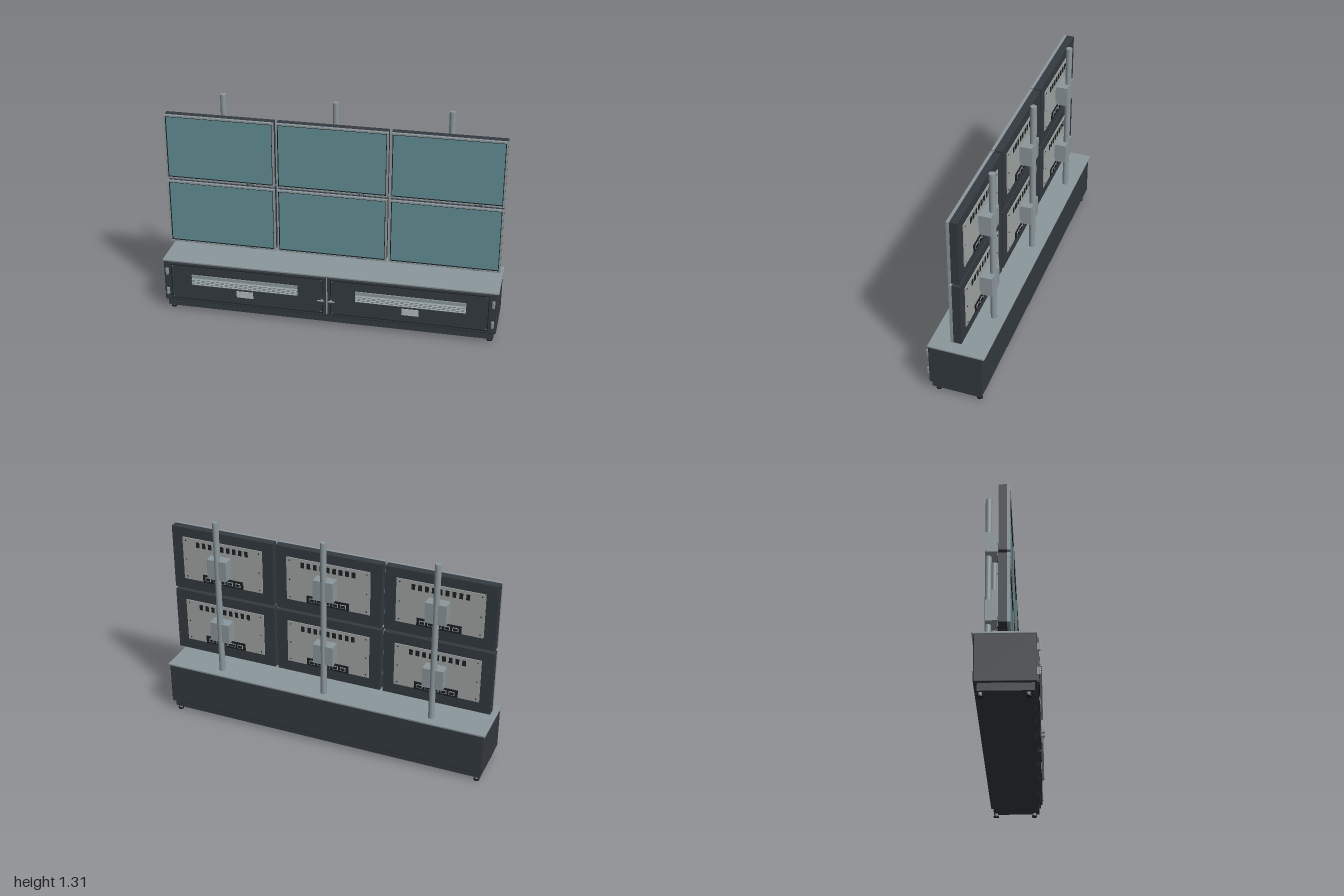
import * as THREE from 'three';
import { RoundedBoxGeometry } from 'three/addons/geometries/RoundedBoxGeometry.js';

const mat = (name, color) => Object.assign(new THREE.MeshStandardMaterial({ color }), { name });

export function createModel() {
  const charcoal = mat('charcoal', 0x343a40);
  const steel = mat('steel', 0x8c979c);
  const glass = mat('screenTeal', 0x628d93);
  const backGrey = mat('backGrey', 0xa0a5a3);
  const black = mat('black', 0x1c2023);
  const label = mat('labelGrey', 0xb4bbbd);

  const model = new THREE.Group();
  model.name = 'videoWall';

  const put = (parent, name, geo, m, x, y, z) => {
    const mesh = new THREE.Mesh(geo, m);
    mesh.name = name;
    mesh.position.set(x, y, z);
    parent.add(mesh);
    return mesh;
  };
  // Box given by its centre in x and its extents in y and z
  const box = (parent, name, m, x, w, y0, y1, z0, z1) =>
    put(parent, name, new THREE.BoxGeometry(w, y1 - y0, z1 - z0), m, x, (y0 + y1) / 2, (z0 + z1) / 2);
  const rounded = (parent, name, m, x, w, y0, y1, z0, z1, r) =>
    put(parent, name, new RoundedBoxGeometry(w, y1 - y0, z1 - z0, 2, r), m, x, (y0 + y1) / 2, (z0 + z1) / 2);
  const rod = (parent, name, m, r, len, x, y, z, axis = 'y', sides = 16) => {
    const geo = new THREE.CylinderGeometry(r, r, len, sides);
    if (axis === 'x') geo.rotateZ(Math.PI / 2);
    if (axis === 'z') geo.rotateX(Math.PI / 2);
    return put(parent, name, geo, m, x, y, z);
  };
  // Rectangular ring, extruded from z = 0 forward
  const ring = (w, h, t, depth) => {
    const rect = (C, a, b) => new C([[-a, -b], [a, -b], [a, b], [-a, b]].map(p => new THREE.Vector2(...p)));
    const s = rect(THREE.Shape, w / 2, h / 2);
    s.holes.push(rect(THREE.Path, w / 2 - t, h / 2 - t));
    return new THREE.ExtrudeGeometry(s, { depth, bevelEnabled: false });
  };

  // Cabinet body, plinth and worktop
  const cabinet = new THREE.Group();
  cabinet.name = 'cabinet';
  model.add(cabinet);
  rounded(cabinet, 'cabinetBody', charcoal, 0, 1.99, 0.066, 0.328, -0.17, 0.146, 0.006);
  box(cabinet, 'plinth', charcoal, 0, 1.96, 0.024, 0.068, -0.15, 0.135);
  rounded(cabinet, 'worktop', steel, 0, 2, 0.325, 0.338, -0.18, 0.148, 0.003);

  // Levelling feet
  for (const x of [-0.957, 0.957]) for (const z of [-0.135, 0.104]) {
    rod(cabinet, 'footStem', steel, 0.009, 0.02, x, 0.016, z);
    rod(cabinet, 'footPad', black, 0.017, 0.008, x, 0.004, z);
  }

  // Doors, mirrored about the centre
  for (const s of [-1, 1]) {
    const door = new THREE.Group();
    door.name = s < 0 ? 'rightDoor' : 'leftDoor';
    cabinet.add(door);
    const cx = s * 0.485;
    box(door, 'doorPanel', charcoal, cx, 0.945, 0.08, 0.322, 0.145, 0.154);
    put(door, 'doorSeal', ring(0.925, 0.226, 0.004, 0.002), black, cx, 0.201, 0.1535);
    for (const sx of [-1, 1]) for (const y of [0.097, 0.305])
      rod(door, 'doorScrew', steel, 0.003, 0.003, cx + sx * 0.452, y, 0.155, 'z', 8);

    // Louvred vent
    const vx = s * 0.495;
    box(door, 'louvreBacking', black, vx, 0.646, 0.196, 0.257, 0.152, 0.156);
    box(door, 'louvreHood', steel, vx, 0.646, 0.237, 0.257, 0.153, 0.162);
    for (let i = 0; i < 4; i++) {
      const slat = box(door, 'louvreSlat', steel, vx, 0.646, 0, 0.004, 0, 0.015);
      slat.position.set(vx, 0.230 - i * 0.0105, 0.161);
      slat.rotation.x = 0.5;
    }
    box(door, 'labelPlate', label, s * 0.495, 0.101, 0.134, 0.176, 0.152, 0.157);

    // Hinges on the outer edge
    for (const y of [0.262, 0.13]) {
      box(door, 'hingeLeaf', steel, s * 0.973, 0.016, y - 0.02, y + 0.02, 0.145, 0.158);
      rod(door, 'hingePin', steel, 0.005, 0.036, s * 0.973, y, 0.161, 'y', 10);
    }

    // Lever handle
    box(door, 'handlePlate', charcoal, s * 0.028, 0.014, 0.15, 0.215, 0.152, 0.158);
    rod(door, 'handleSpindle', steel, 0.006, 0.022, s * 0.028, 0.18, 0.164, 'z', 12);
    rod(door, 'handleLever', steel, 0.004, 0.04, s * 0.032, 0.18, 0.173, 'x', 10);
  }
  box(cabinet, 'centreStrip', steel, 0, 0.006, 0.08, 0.322, 0.145, 0.149);
  box(cabinet, 'lockBar', steel, 0, 0.006, 0.12, 0.22, 0.148, 0.156);

  // One display, centred on its own origin in x and y
  const W = 0.65, H = 0.398;
  const makeDisplay = () => {
    const d = new THREE.Group();
    d.name = 'display';
    box(d, 'displayBody', charcoal, 0, W - 0.004, -H / 2 + 0.001, H / 2 - 0.001, -0.048, -0.003);
    put(d, 'bezel', ring(W, H, 0.009, 0.017), steel, 0, 0, -0.003);
    put(d, 'bezelGasket', ring(W - 0.018, H - 0.018, 0.004, 0.014), black, 0, 0, -0.003);
    box(d, 'screen', glass, 0, W - 0.024, -H / 2 + 0.012, H / 2 - 0.012, -0.003, 0.006);
    for (let i = 0; i < 4; i++)
      box(d, 'button', black, 0.165 + i * 0.011, 0.006, -H / 2 + 0.003, -H / 2 + 0.006, 0.013, 0.016);

    // Rear cover with vents, screws and connector strip
    box(d, 'rearCover', backGrey, 0, 0.51, -0.13, 0.14, -0.053, -0.047);
    for (let i = -4; i <= 4; i++)
      box(d, 'ventSlot', black, i * 0.039, 0.021, 0.087, 0.121, -0.0555, -0.052);
    for (const x of [-0.235, 0.235]) for (const y of [-0.112, 0, 0.122])
      rod(d, 'coverScrew', black, 0.004, 0.003, x, y, -0.0535, 'z', 8);
    box(d, 'connectorStrip', black, 0, 0.26, -0.13, -0.082, -0.058, -0.052);
    for (let i = -2; i <= 2; i++) {
      box(d, 'port', backGrey, i * 0.048, 0.034, -0.118, -0.095, -0.061, -0.057);
      box(d, 'portOpening', black, i * 0.048, 0.026, -0.114, -0.099, -0.063, -0.06);
    }

    // Wall bracket gripping the post
    box(d, 'bracketPlate', steel, 0, 0.1, -0.045, 0.05, -0.063, -0.052);
    box(d, 'bracket', steel, 0, 0.123, -0.058, 0.064, -0.128, -0.062);
    return d;
  };

  // Posts, each carrying two displays
  for (const x of [-0.663, 0, 0.663]) {
    rod(model, 'post', steel, 0.018, 0.98, x, 0.823, -0.115, 'y', 24);
    for (const y of [0.595, 1.009]) {
      const d = makeDisplay();
      d.position.set(x, y, 0);
      model.add(d);
    }
  }
  return model;
}
